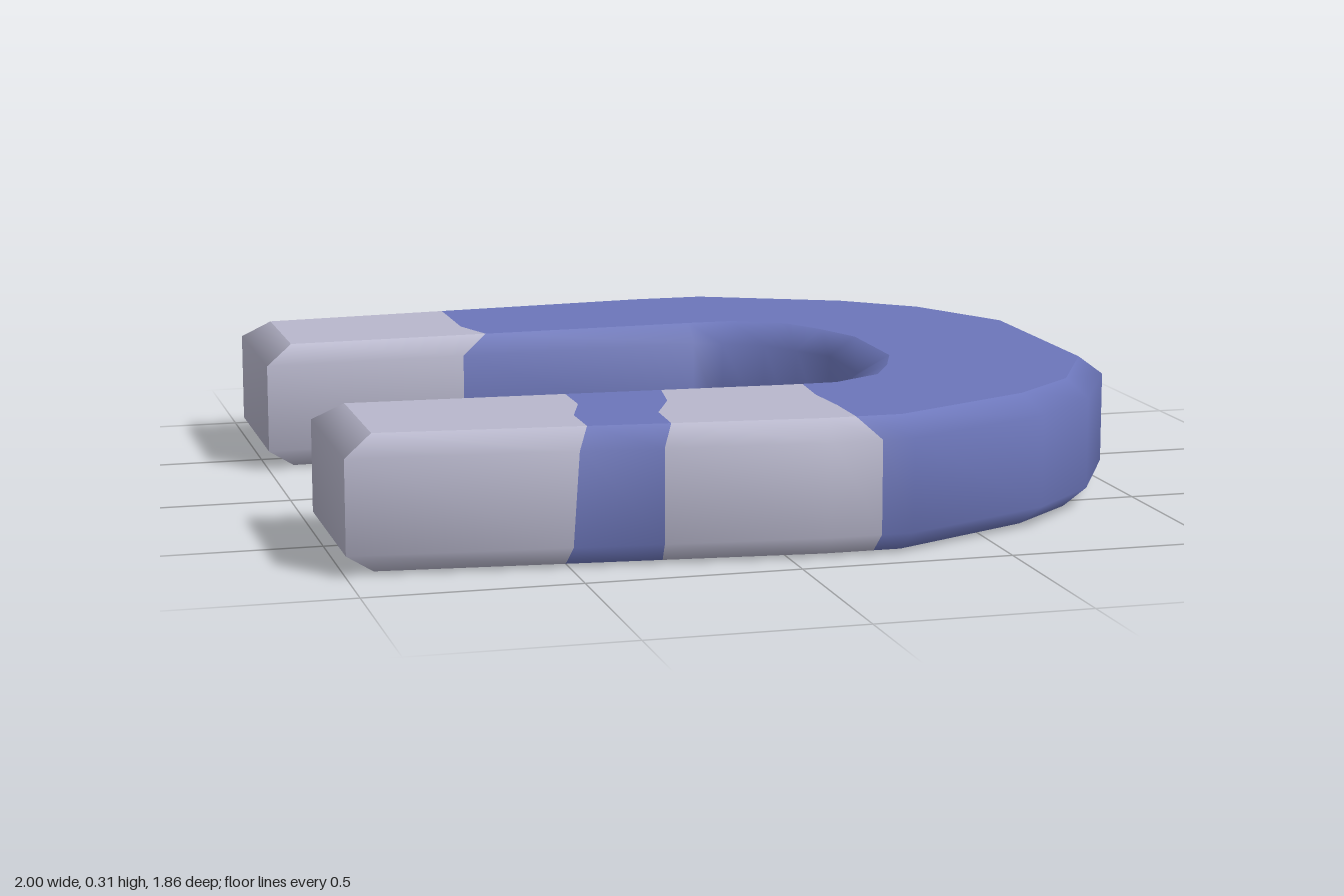
import * as THREE from 'three';

// Edge rails of one half of the horseshoe as [x, z], from leg tip to bend
const outerSide = [[-1, 0.82], [0.09, 0.93], [0.285, 0.93], [0.665, 0.755], [0.845, 0.585], [1, 0.29]];
const outerFlat = [[-0.93, 0.77], [0.09, 0.87], [0.275, 0.87], [0.63, 0.7], [0.8, 0.55], [0.94, 0.28]];
const innerFlat = [[-0.93, 0.41], [0.13, 0.456], [0.25, 0.455], [0.38, 0.38], [0.44, 0.27], [0.49, 0.14]];
const innerSide = [[-1, 0.355], [0.13, 0.4], [0.2, 0.367], [0.3, 0.32], [0.357, 0.22], [0.415, 0.12]];
const between = (t) => outerFlat.map((p, i) => p.map((v, c) => v + (innerFlat[i][c] - v) * t));

// Twelve-sided section: outer wall, top, inner wall, bottom
const m1 = between(1 / 3), m2 = between(2 / 3);
const rails = [outerFlat, outerSide, outerSide, outerFlat, m1, m2,
  innerFlat, innerSide, innerSide, innerFlat, m2, m1];
const heights = [0, 0.05, 0.27, 0.315, 0.315, 0.315, 0.315, 0.27, 0.05, 0, 0, 0];

// Ragged paint borders: x at each section point
const stripeStart = [-0.5, -0.495, -0.48, -0.45, -0.45, -0.41, -0.41, -0.455, -0.455, -0.45, -0.46, -0.48];
const stripeEnd = [-0.28, -0.29, -0.29, -0.26, -0.255, -0.2, -0.18, -0.22, -0.22, -0.22, -0.25, -0.28];
const bodyStart = [0.21, 0.21, 0.21, 0.165, 0.165, 0.155, 0.165, 0.17, 0.17, 0.17, 0.17, 0.2];
const backBorder = [-0.49, -0.49, -0.49, -0.46, -0.46, -0.46, -0.42, -0.49, -0.49, -0.45, -0.46, -0.48];

function zAt(rail, x) {
  let i = 0;
  while (i < rail.length - 2 && rail[i + 1][0] < x) i++;
  const [a, b] = [rail[i], rail[i + 1]];
  return a[1] + (b[1] - a[1]) * (x - a[0]) / (b[0] - a[0]);
}
const station = (i) => rails.map((r, k) => [r[i][0], heights[k], r[i][1]]);
const border = (xs) => rails.map((r, k) => [xs[k], heights[k], zAt(r, xs[k])]);
const mirror = (ring) => ring.map(([x, y, z]) => [x, y, -z]);

export function createModel() {
  const blue = new THREE.MeshStandardMaterial({ color: 0x6c76ba });
  blue.name = 'blue paint';
  const grey = new THREE.MeshStandardMaterial({ color: 0xb8b7cc });
  grey.name = 'pale metal';

  const model = new THREE.Group();
  model.name = 'horseshoeMagnet';

  // Sections around the horseshoe, front tip to back tip
  const rings = [
    station(0), border(stripeStart), border(stripeEnd), station(1), border(bodyStart),
    station(2), station(3), station(4), station(5),
    ...[5, 4, 3, 2, 1].map((i) => mirror(station(i))),
    mirror(border(backBorder)), mirror(station(0)),
  ];
  const greySegments = [0, 2, 3, rings.length - 2];

  function addMesh(name, points, index, groups, material) {
    const geometry = new THREE.BufferGeometry();
    geometry.setAttribute('position', new THREE.Float32BufferAttribute(points.flat(), 3));
    geometry.setIndex(index);
    groups.forEach((g) => geometry.addGroup(...g));
    geometry.computeVertexNormals();
    const mesh = new THREE.Mesh(geometry, material);
    mesh.name = name;
    model.add(mesh);
  }

  // Each strip is smooth in itself and creased against its neighbours
  const strips = {
    outerWall: [0, 1, 2, 3],
    topFace: [3, 4, 5, 6],
    innerWall: [6, 7, 8, 9],
    bottomFace: [9, 10, 11, 0],
  };
  for (const [name, columns] of Object.entries(strips)) {
    const n = columns.length;
    const points = rings.flatMap((ring) => columns.map((k) => ring[k]));
    const index = [], groups = [];
    for (let j = 0; j < rings.length - 1; j++) {
      groups.push([index.length, (n - 1) * 6, greySegments.includes(j) ? 1 : 0]);
      for (let k = 0; k < n - 1; k++) {
        const a = j * n + k, b = a + n;
        index.push(a, b, a + 1, b, b + 1, a + 1);
      }
    }
    addMesh(name, points, index, groups, [blue, grey]);
  }

  // Bevelled tips: a flat face with a slope above and below
  const quads = [[1, 2, 7, 8], [2, 3, 6, 7], [8, 9, 0, 1]];
  const capIndex = quads.flatMap(([a, b, c, d]) => [a, b, c, a, c, d]);
  addMesh('frontTip', rings[0], capIndex, [], grey);
  addMesh('backTip', rings[rings.length - 1], [...capIndex].reverse(), [], grey);

  return model;
}
